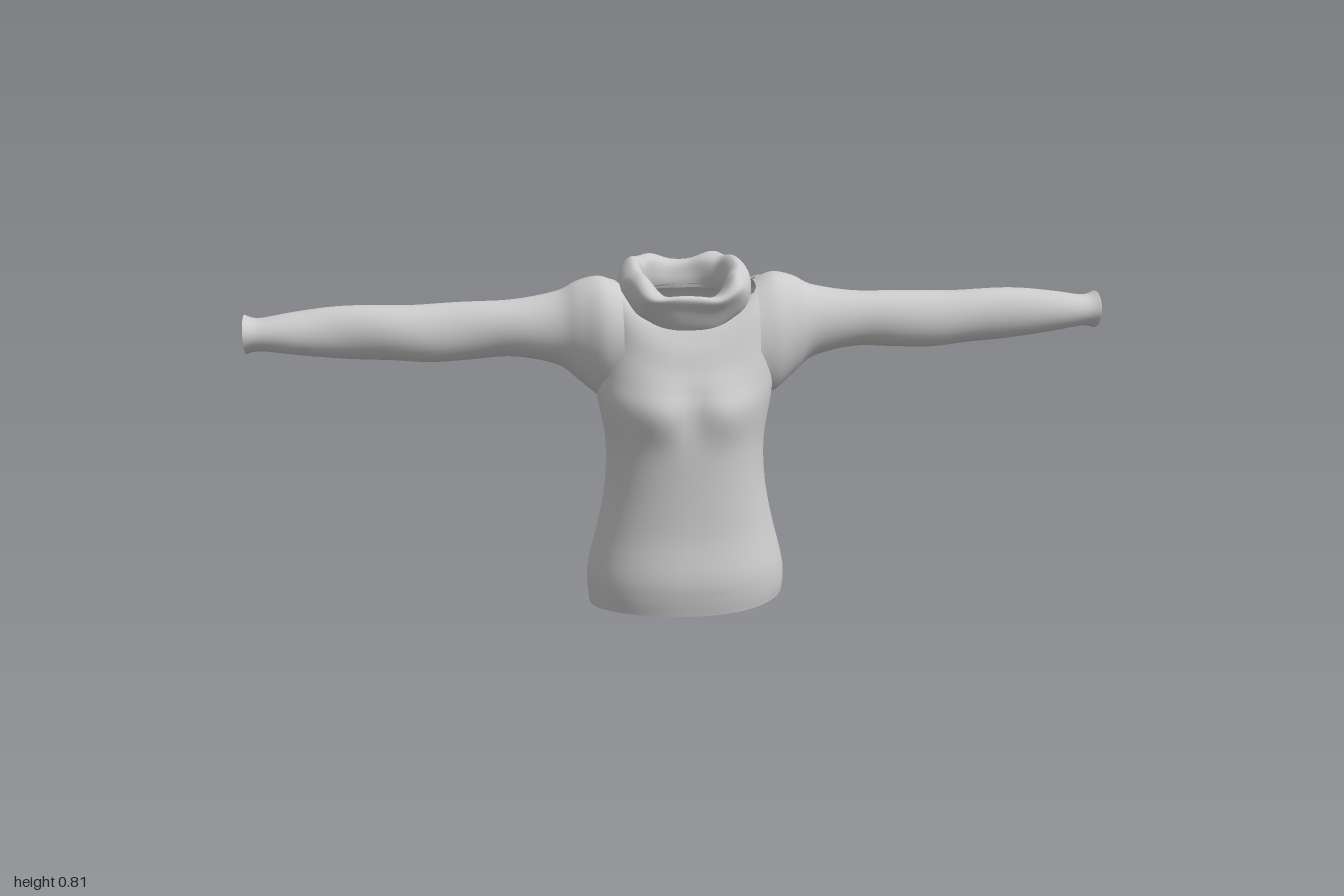
import * as THREE from 'three';

const cloth = new THREE.MeshStandardMaterial({ color: 0xcccccc, side: THREE.DoubleSide });

// Smoothly interpolate the columns of a table of cross-sections, t in 0..1
function sampler(rows) {
  const curves = rows[0].map((_, k) => new THREE.SplineCurve(rows.map((r, i) => new THREE.Vector2(i, r[k]))));
  return t => curves.map(c => c.getPoint(t).y);
}

// Signed power, for squarish ellipses
const spow = (v, p) => Math.sign(v) * Math.abs(v) ** p;
const bump = (d, width) => Math.exp(-((d / width) ** 2));

// Open tube of rings; point(t, angle) gives a vertex, skip(centre) drops faces
function loft(name, rings, sides, point, skip = () => false) {
  const pts = [], index = [];
  for (let i = 0; i <= rings; i++)
    for (let j = 0; j < sides; j++) pts.push(point(i / rings, (j / sides) * Math.PI * 2));
  for (let i = 0; i < rings; i++)
    for (let j = 0; j < sides; j++) {
      const k = (j + 1) % sides;
      const a = i * sides + j, b = i * sides + k, c = a + sides, d = b + sides;
      const mid = pts[a].clone().add(pts[d]).multiplyScalar(0.5);
      if (!skip(mid)) index.push(a, c, b, b, c, d);
    }
  const geo = new THREE.BufferGeometry().setFromPoints(pts);
  geo.setIndex(index);
  geo.computeVertexNormals();
  const mesh = new THREE.Mesh(geo, cloth);
  mesh.name = name;
  return mesh;
}

// Ring around the body: side, front and back heights differ
function bodyPoint([xc, w, ys, yf, yb, zf, zb, zs], a, p) {
  const c = Math.cos(a), s = Math.sin(a);
  const reach = s > 0 ? zf - zs : zs - zb;
  return new THREE.Vector3(
    xc + w * spow(c, p),
    ys * c * c + (s > 0 ? yf : yb) * s * s,
    zs + reach * spow(s, p));
}

// Torso: centre x, half width, y side/front/back, z front/back/side
const torsoRows = [
  [-0.01, 0.23, 0.012, 0.022, 0.016, 0.187, -0.172, 0.01],
  [-0.01, 0.234, 0.06, 0.06, 0.06, 0.192, -0.163, 0.01],
  [-0.01, 0.228, 0.11, 0.11, 0.11, 0.192, -0.142, 0.01],
  [-0.01, 0.205, 0.2, 0.2, 0.2, 0.175, -0.128, 0.015],
  [-0.01, 0.187, 0.3, 0.3, 0.3, 0.168, -0.14, 0.01],
  [-0.01, 0.185, 0.4, 0.4, 0.4, 0.165, -0.15, 0],
  [-0.01, 0.202, 0.5, 0.49, 0.5, 0.165, -0.158, -0.01],
  [-0.005, 0.207, 0.57, 0.54, 0.56, 0.144, -0.163, -0.025],
  [0, 0.205, 0.66, 0.58, 0.61, 0.122, -0.162, -0.035],
  [0, 0.2, 0.74, 0.62, 0.66, 0.104, -0.155, -0.04],
  [0, 0.178, 0.765, 0.645, 0.69, 0.09, -0.145, -0.04],
  [0, 0.13, 0.738, 0.67, 0.72, 0.075, -0.13, -0.04],
  [0, 0.105, 0.73, 0.685, 0.735, 0.065, -0.12, -0.04],
];

function torso() {
  const row = sampler(torsoRows);
  return loft('torso', 72, 80, (t, a) => {
    const v = bodyPoint(row(t), a, 0.88);
    const back = Math.max(0, -Math.sin(a));
    // bunched folds across the back of the waist
    const fold = 0.012 * bump(v.y - 0.26 - 0.25 * v.x, 0.022)
      - 0.012 * bump(v.y - 0.205 - 0.3 * v.x, 0.025)
      + 0.008 * bump(v.y - 0.15 + 0.2 * v.x, 0.02);
    v.z -= back * fold;
    // bust and a shallow dip between
    if (v.z > 0) v.z += bump(v.y - 0.49, 0.06) * 0.012 * (bump(Math.abs(v.x + 0.01) - 0.08, 0.05) - bump(v.x + 0.01, 0.03));
    // wavy hem
    v.y += 0.006 * Math.sin(3 * a + 0.6) * bump(v.y, 0.04) + 0.03 * (v.x) * bump(v.y, 0.03);
    return v;
  }, m => Math.abs(m.x) > 0.14 && ((m.y - 0.632) / 0.128) ** 2 + ((m.z + 0.032) / 0.093) ** 2 < 1);
}

// Sleeve: x, y bottom/top, z back/front
const sleeveRows = [
  [0.155, 0.485, 0.757, -0.138, 0.08],
  [0.2, 0.492, 0.774, -0.14, 0.072],
  [0.25, 0.53, 0.763, -0.132, 0.045],
  [0.3, 0.568, 0.738, -0.124, 0.022],
  [0.4, 0.587, 0.722, -0.116, 0.006],
  [0.5, 0.587, 0.716, -0.112, 0.004],
  [0.6, 0.581, 0.715, -0.112, 0.001],
  [0.7, 0.588, 0.716, -0.114, -0.005],
  [0.8, 0.598, 0.712, -0.114, -0.013],
  [0.9, 0.607, 0.703, -0.115, -0.018],
  [0.97, 0.615, 0.692, -0.117, -0.024],
  [1.0, 0.61, 0.7, -0.122, -0.02],
];

function sleeve(name, side) {
  const row = sampler(sleeveRows);
  return loft(name, 64, 36, (t, a) => {
    const [x, y0, y1, z0, z1] = row(t);
    const b = a * side;
    // soft twisting creases along the arm
    const k = 1 + 0.035 * Math.sin(2 * b + 22 * x) * THREE.MathUtils.smoothstep(x, 0.25, 0.45);
    const shift = (side > 0 ? 0.005 : -0.006) * THREE.MathUtils.smoothstep(x, 0.2, 0.5) * (1 - 0.8 * t);
    return new THREE.Vector3(
      side * x,
      (y0 + y1) / 2 + ((y1 - y0) / 2) * k * Math.sin(a * -side),
      (z0 + z1) / 2 + shift + ((z1 - z0) / 2) * k * Math.cos(a));
  });
}

// Folded cowl collar, from the outer lower edge over the roll to the neck hole
const collarRows = [
  [-0.005, 0.132, 0.715, 0.668, 0.685, 0.084, -0.145, -0.04],
  [-0.005, 0.146, 0.725, 0.684, 0.67, 0.092, -0.172, -0.04],
  [-0.005, 0.152, 0.755, 0.712, 0.7, 0.106, -0.191, -0.04],
  [-0.005, 0.142, 0.785, 0.738, 0.755, 0.122, -0.187, -0.04],
  [-0.005, 0.118, 0.803, 0.745, 0.792, 0.105, -0.155, -0.04],
  [-0.005, 0.098, 0.785, 0.728, 0.785, 0.058, -0.125, -0.04],
  [-0.005, 0.096, 0.75, 0.7, 0.75, 0.052, -0.118, -0.04],
  [-0.005, 0.104, 0.725, 0.685, 0.725, 0.064, -0.122, -0.04],
];

function collar() {
  const row = sampler(collarRows);
  return loft('collar', 36, 72, (t, a) => {
    const v = bodyPoint(row(t), a, 0.74);
    const roll = Math.sin(Math.PI * t);
    // crumples around the roll, raised points at the front corners
    v.y += roll * (0.006 * Math.sin(7 * a + 5 * t) + 0.012 * bump(Math.abs(a - 1.5 * Math.PI) - 0.8, 0.3));
    const pointed = roll * bump(Math.abs(a - Math.PI / 2) - 0.75, 0.25);
    v.x *= 1 + 0.04 * pointed;
    v.z += 0.008 * pointed + 0.004 * roll * Math.sin(5 * a - 8 * t);
    return v;
  });
}

export function createModel() {
  const group = new THREE.Group();
  group.name = 'shirt';
  group.add(torso(), sleeve('leftSleeve', 1), sleeve('rightSleeve', -1), collar());
  return group;
}
